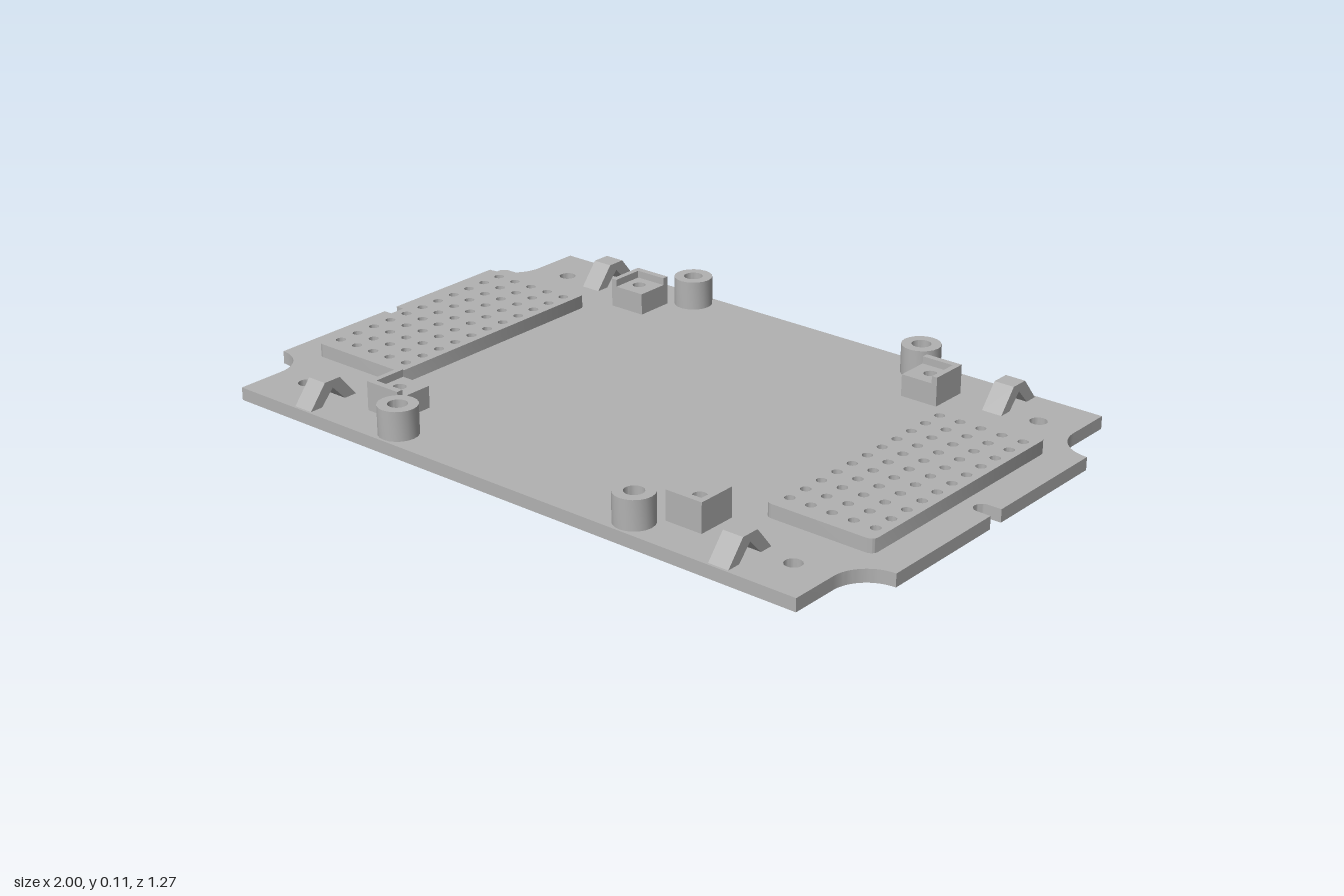
import * as THREE from 'three';
import { toCreasedNormals } from 'three/addons/utils/BufferGeometryUtils.js';

const PLATE = 0.035, PAD_TOP = 0.072, POST_TOP = 0.115, LEDGE = 0.095;
const PAD_X = 0.752, PITCH = 0.0612;

const gray = new THREE.MeshStandardMaterial({ color: 0xb2b2b2 });
gray.name = 'gray plastic';

function mesh(name, geometry) {
  const m = new THREE.Mesh(toCreasedNormals(geometry, 0.6), gray);
  m.name = name;
  return m;
}

// Extrude a plan shape (x, -z) upward from y0 to y1
function slab(name, shape, y0, y1) {
  const g = new THREE.ExtrudeGeometry(shape, { depth: y1 - y0, bevelEnabled: false, curveSegments: 10 });
  g.rotateX(-Math.PI / 2).translate(0, y0, 0);
  return mesh(name, g);
}

function addHole(shape, x, y, r) {
  shape.holes.push(new THREE.Path().absarc(x, y, r, 0, Math.PI * 2, true));
}

// Vent grid of 5 by 11 holes
function addVents(shape, cx) {
  for (let i = -2; i <= 2; i++)
    for (let j = -5; j <= 5; j++) addHole(shape, cx + i * PITCH, j * PITCH, 0.0135);
}

function rect(x0, y0, x1, y1) {
  return new THREE.Shape([[x0, y0], [x1, y0], [x1, y1], [x0, y1]].map(p => new THREE.Vector2(...p)));
}

function roundedRect(cx, w, h, r) {
  const s = new THREE.Shape(), x = w / 2 - r, y = h / 2 - r;
  s.absarc(cx + x, y, r, 0, Math.PI / 2);
  s.absarc(cx - x, y, r, Math.PI / 2, Math.PI);
  s.absarc(cx - x, -y, r, Math.PI, Math.PI * 1.5);
  s.absarc(cx + x, -y, r, Math.PI * 1.5, Math.PI * 2);
  s.closePath();
  return s;
}

// Base outline with scooped corners and a round-ended slot at each end
function basePlate() {
  const P = Math.PI, s = new THREE.Shape();
  s.moveTo(-0.9, -0.635);
  s.lineTo(0.9, -0.635);
  s.absarc(1, -0.5, 0.1, P, P / 2, true);
  s.lineTo(1, -0.023);
  s.absarc(0.963, 0, 0.023, P * 1.5, P / 2, true);
  s.lineTo(1, 0.023);
  s.absarc(1, 0.5, 0.1, P * 1.5, P, true);
  s.lineTo(0.9, 0.635);
  s.lineTo(-0.9, 0.635);
  s.absarc(-1, 0.5, 0.1, 0, -P / 2, true);
  s.lineTo(-1, 0.023);
  s.absarc(-0.963, 0, 0.023, P / 2, -P / 2, true);
  s.lineTo(-1, -0.023);
  s.absarc(-1, -0.5, 0.1, P / 2, 0, true);
  s.closePath();
  for (const sx of [-1, 1]) {
    addVents(s, sx * PAD_X);
    for (const sy of [-1, 1]) addHole(s, sx * 0.794, sy * 0.506, 0.023);
  }
  return slab('basePlate', s, 0, PLATE);
}

// Hollow round standoff
function standoff(x, z) {
  const s = new THREE.Shape().absarc(x, -z, 0.053, 0, Math.PI * 2);
  addHole(s, x, -z, 0.026);
  return slab('standoff', s, PLATE, POST_TOP);
}

// Square seat with a blind hole and an L-shaped wall on its outer sides
function cornerSeat(sx, sz) {
  const g = new THREE.Group();
  g.name = 'cornerSeat';
  const span = (a, b, s) => [Math.min(a * s, b * s), Math.max(a * s, b * s)];
  const box = (name, xs, zs, y0, y1, hole) => {
    const [x0, x1] = span(...xs, sx), [v0, v1] = span(...zs, -sz);
    const s = rect(x0, v0, x1, v1);
    if (hole) addHole(s, sx * 0.49, -sz * 0.466, 0.018);
    g.add(slab(name, s, y0, y1));
  };
  box('seatBlock', [0.437, 0.529], [0.415, 0.508], PLATE, LEDGE, true);
  box('seatSideWall', [0.529, 0.545], [0.415, 0.526], PLATE, POST_TOP);
  box('seatEndWall', [0.437, 0.529], [0.508, 0.526], PLATE, POST_TOP);
  return g;
}

// Bent bridge clip: flat crest on two sloping legs, open underneath
function clip(x, z) {
  const pts = [[-0.078, PLATE], [-0.04, PLATE], [0, 0.077], [0.04, PLATE],
    [0.078, PLATE], [0.026, 0.098], [-0.026, 0.098]];
  const s = new THREE.Shape(pts.map(p => new THREE.Vector2(...p)));
  const g = new THREE.ExtrudeGeometry(s, { depth: 0.058, bevelEnabled: false });
  g.translate(0, 0, -0.029).rotateY(-Math.PI / 2).translate(x, 0, z);
  return mesh('clip', g);
}

export function createModel() {
  const model = new THREE.Group();
  model.name = 'mountingPlate';
  model.add(basePlate());
  for (const sx of [-1, 1]) {
    // Raised perforated pad
    const pad = roundedRect(sx * PAD_X, 0.31, 0.72, 0.02);
    addVents(pad, sx * PAD_X);
    model.add(slab('ventPad', pad, PLATE, PAD_TOP));
    for (const sz of [-1, 1]) {
      model.add(standoff(sx * 0.385, sz * 0.576), cornerSeat(sx, sz), clip(sx * 0.676, sz * 0.55));
    }
  }
  return model;
}
